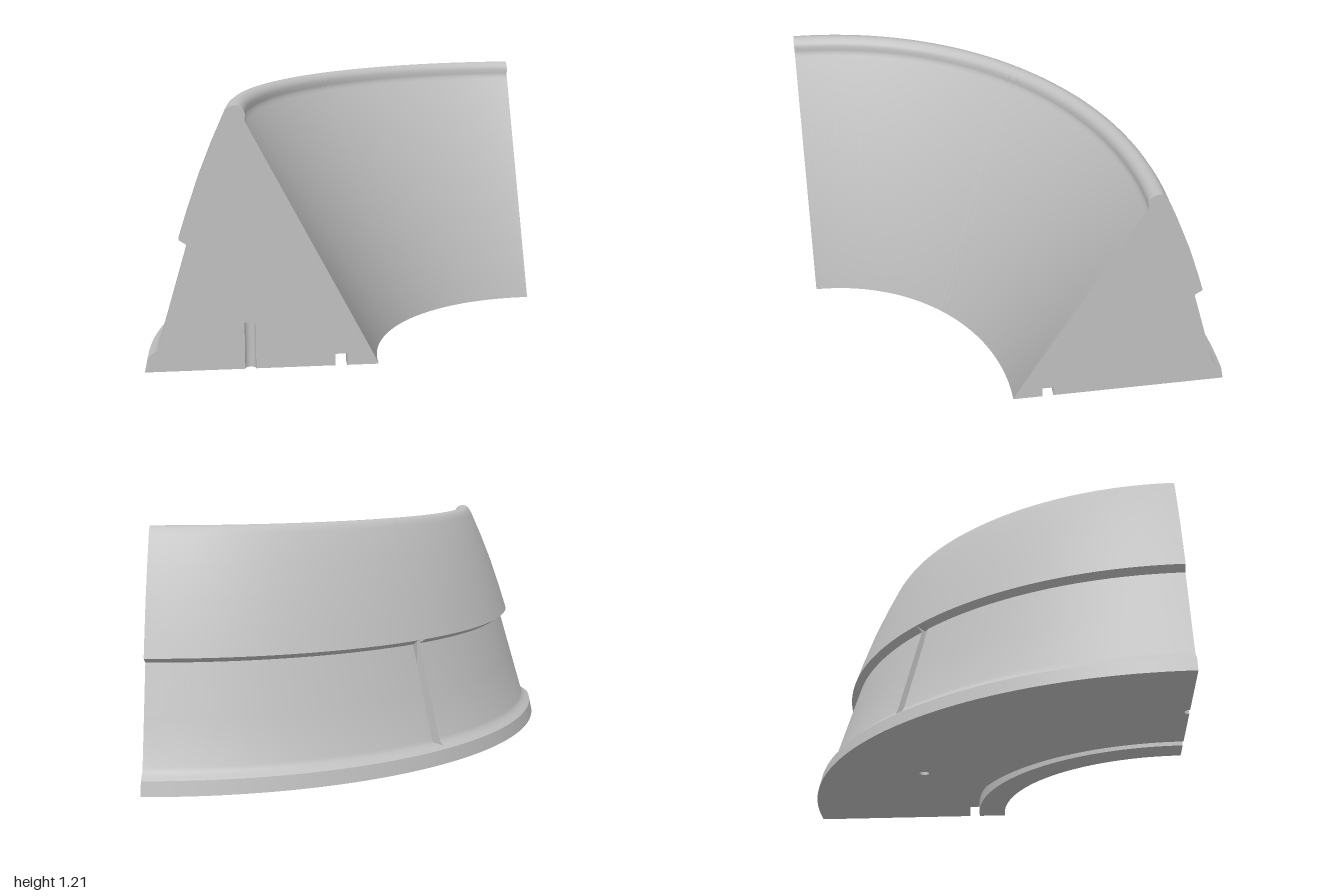
import * as THREE from 'three';
import { toCreasedNormals } from 'three/addons/utils/BufferGeometryUtils.js';

const CENTER = 1;          // ring axis at x = 1, z = 1
const PIN_R = 0.025, PIN_RADIUS = 1.525, PIN_HEIGHT = 0.22;
const SLOT_HALF = 0.0135;  // half angle of the drain slot

// Cross-section as (radius, height)
const rim = [[2, 0], [1.985, 0.07], [1.966, 0.085]];
const wall = [[1.945, 0.1], [1.935, 0.12], [1.87, 0.34], [1.798, 0.585]];
const slotCut = [[1.78, 0.085], [1.78, 0.595]];
const upper = [[1.835, 0.61], [1.8, 0.72], [1.745, 0.88], [1.685, 1.03], [1.625, 1.165],
  [1.61, 1.19], [1.595, 1.202], [1.575, 1.205], [1.555, 1.2], [1.54, 1.185], [1.532, 1.165],
  [1.535, 1.145], [1.533, 1.13], [1.525, 1.115]];
const inner = [[0.94, 0.005], [0.94, 0]];
const groove = [[1.085, 0], [1.085, 0.055], [1.14, 0.055], [1.14, 0]];

const vectors = (pts, f = (r) => r) => pts.map(([r, y]) => new THREE.Vector2(f(r), y));

export function createModel() {
  const group = new THREE.Group();
  const grey = new THREE.MeshStandardMaterial({ color: 0xc0c0c0, side: THREE.DoubleSide });
  grey.name = 'light grey';

  const add = (name, geometry, x = 0, y = 0, z = 0) => {
    const mesh = new THREE.Mesh(geometry, grey);
    mesh.name = name;
    mesh.position.set(x, y, z);
    group.add(mesh);
    return mesh;
  };

  // Swept body on both sides of the slot, and the recessed strip between
  const sweep = (name, pts, start, end, segments) => {
    const lathe = new THREE.LatheGeometry(vectors(pts), segments, start, end - start);
    add(name, toCreasedNormals(lathe, 0.6), CENTER, 0, CENTER);
  };
  const body = [...rim, ...wall, ...upper, ...inner, ...groove];
  const recessed = [...rim, ...slotCut, ...upper, ...inner, ...groove];
  const mid = Math.PI * 1.25;
  sweep('ringRightHalf', body, Math.PI, mid - SLOT_HALF, 32);
  sweep('ringSlotStrip', recessed, mid - SLOT_HALF, mid + SLOT_HALF, 2);
  sweep('ringFrontHalf', body, mid + SLOT_HALF, Math.PI * 1.5, 32);

  // Side walls of the slot
  const slotSide = [rim[2], ...wall, upper[0], slotCut[1], slotCut[0]];
  for (const side of [-1, 1]) {
    const geometry = new THREE.ShapeGeometry(new THREE.Shape(vectors(slotSide)));
    geometry.rotateY(Math.PI * 0.75 + side * SLOT_HALF);
    add('slotSide', geometry, CENTER, 0, CENTER);
  }

  // Flat end faces; the front one is notched for a pin
  const notch = [
    [PIN_RADIUS - PIN_R, 0], [PIN_RADIUS - PIN_R, PIN_HEIGHT],
    [PIN_RADIUS + PIN_R, PIN_HEIGHT], [PIN_RADIUS + PIN_R, 0],
  ];
  const frontShape = new THREE.Shape(vectors([...body, ...notch], (r) => CENTER - r));
  add('frontEndFace', new THREE.ShapeGeometry(frontShape), 0, 0, CENTER);
  const sideShape = new THREE.Shape(vectors(body, (r) => r - CENTER));
  add('sideEndFace', new THREE.ShapeGeometry(sideShape).rotateY(Math.PI / 2), CENTER, 0, 0);

  // Underside with a pin hole and the half hole at the front end
  const notchX = CENTER - PIN_RADIUS;
  const holeAngle = Math.PI * 4 / 3;
  const holeX = CENTER + PIN_RADIUS * Math.cos(holeAngle);
  const holeZ = CENTER + PIN_RADIUS * Math.sin(holeAngle);
  const base = new THREE.Shape();
  base.absarc(CENTER, CENTER, 2, Math.PI, Math.PI * 1.5, false);
  base.absarc(CENTER, CENTER, 1.14, Math.PI * 1.5, Math.PI, true);
  base.lineTo(notchX + PIN_R, CENTER);
  base.absarc(notchX, CENTER, PIN_R, 0, Math.PI, true);
  base.closePath();
  base.holes.push(new THREE.Path().absarc(holeX, holeZ, PIN_R, 0, Math.PI * 2, true));
  add('underside', new THREE.ShapeGeometry(base, 64).rotateX(Math.PI / 2));

  // Inner walls and ceilings of the pin holes
  const pinHole = (name, x, z, start, length) => {
    const tube = new THREE.CylinderGeometry(PIN_R, PIN_R, PIN_HEIGHT, 24, 1, true, start, length);
    tube.scale(-1, 1, 1);
    tube.computeVertexNormals();
    add(name + 'Wall', tube, x, PIN_HEIGHT / 2, z);
    const cap = new THREE.CircleGeometry(PIN_R, 24, length > 4 ? 0 : Math.PI, length);
    add(name + 'Ceiling', cap.rotateX(Math.PI / 2), x, PIN_HEIGHT, z);
  };
  pinHole('pinHole', holeX, holeZ, 0, Math.PI * 2);
  pinHole('frontPinNotch', notchX, CENTER, Math.PI / 2, Math.PI);

  return group;
}
